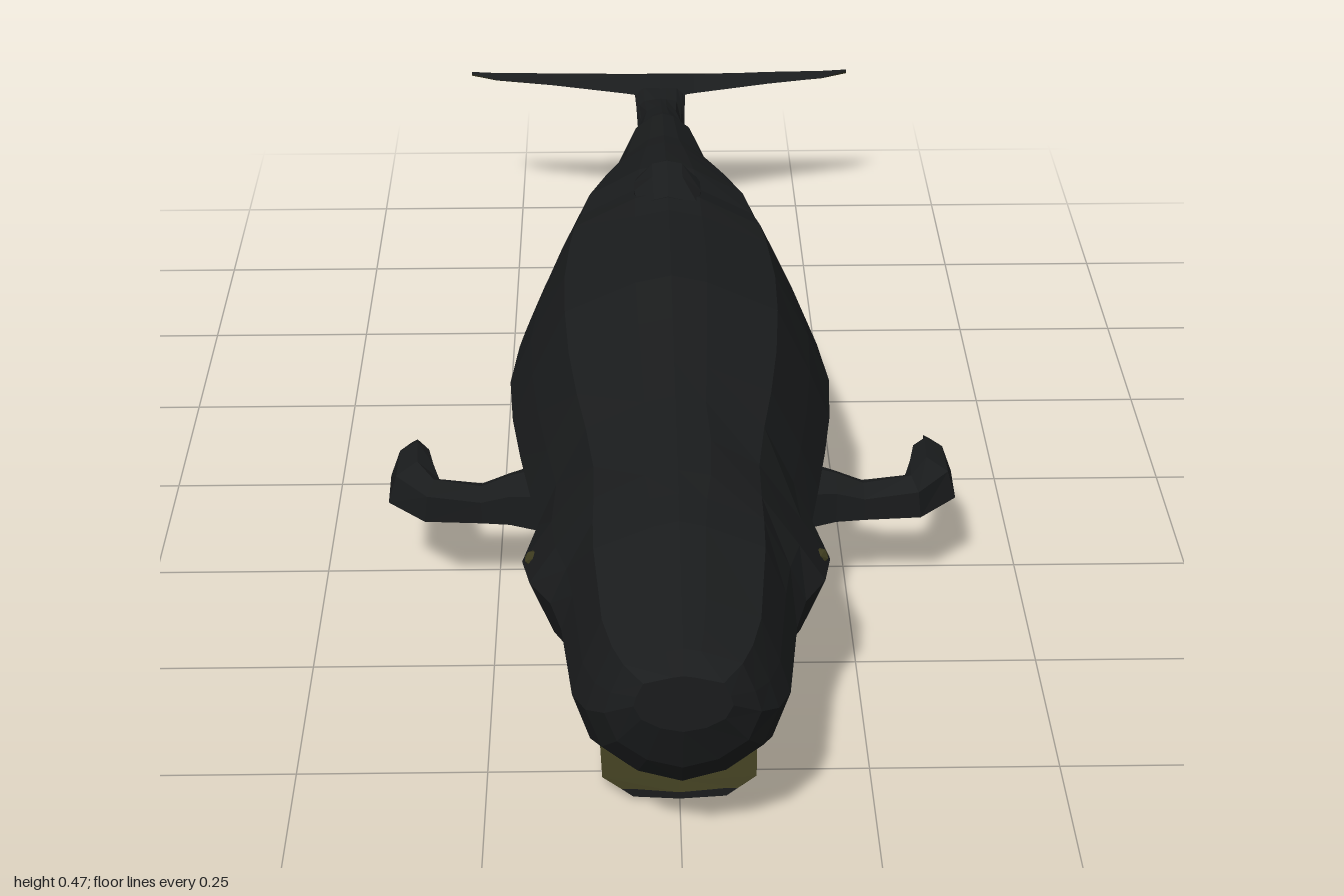
import * as THREE from 'three';

const skin = new THREE.MeshStandardMaterial({ color: 0x1a1c1d, flatShading: true });
const olive = new THREE.MeshStandardMaterial({ color: 0x3c3a1e, flatShading: true });

// Joins a list of point rings into a faceted skin; closed rings get end caps
function loft(name, rings, material, closed = true) {
  const pos = [];
  const tri = (a, b, c) => pos.push(...a, ...b, ...c);
  const n = rings[0].length;
  for (let r = 0; r < rings.length - 1; r++) {
    const A = rings[r], B = rings[r + 1];
    for (let i = 0; i < (closed ? n : n - 1); i++) {
      const j = (i + 1) % n;
      tri(A[i], A[j], B[i]);
      tri(A[j], B[j], B[i]);
    }
  }
  if (closed) {
    const first = rings[0], last = rings[rings.length - 1];
    for (let i = 1; i < n - 1; i++) {
      tri(first[0], first[i + 1], first[i]);
      tri(last[0], last[i], last[i + 1]);
    }
  }
  const geo = new THREE.BufferGeometry();
  geo.setAttribute('position', new THREE.Float32BufferAttribute(pos, 3));
  geo.computeVertexNormals();
  const mesh = new THREE.Mesh(geo, material);
  mesh.name = name;
  return mesh;
}

const mirror = rings => rings.map(r => r.map(([x, y, z]) => [-x, y, z]).reverse());

// Body sections: z, half width, top, bottom, shoulder half width / half width
const SECTIONS = [
  [1.0, 0.06, 0.32, 0.24, 0.8], [0.975, 0.095, 0.343, 0.17, 0.75],
  [0.94, 0.118, 0.353, 0.125, 0.72], [0.89, 0.135, 0.365, 0.092, 0.72],
  [0.76, 0.15, 0.39, 0.09, 0.72], [0.7, 0.165, 0.394, 0.088, 0.66],
  [0.65, 0.193, 0.4, 0.083, 0.56], [0.57, 0.205, 0.407, 0.045, 0.53],
  [0.48, 0.186, 0.415, 0.042, 0.64], [0.4, 0.2, 0.426, 0.044, 0.66],
  [0.3, 0.215, 0.44, 0.03, 0.67], [0.2, 0.228, 0.455, 0.022, 0.66],
  [0.08, 0.235, 0.45, 0.02, 0.65], [-0.04, 0.225, 0.445, 0.017, 0.65],
  [-0.1, 0.218, 0.448, 0.004, 0.64], [-0.16, 0.207, 0.435, 0.02, 0.63],
  [-0.23, 0.19, 0.435, 0.04, 0.62], [-0.34, 0.155, 0.41, 0.075, 0.6],
  [-0.4, 0.133, 0.396, 0.095, 0.58], [-0.47, 0.108, 0.378, 0.112, 0.56],
  [-0.6, 0.08, 0.36, 0.165, 0.55], [-0.66, 0.055, 0.338, 0.188, 0.58],
  [-0.75, 0.04, 0.312, 0.23, 0.62], [-0.83, 0.042, 0.29, 0.258, 0.66],
  [-0.9, 0.045, 0.288, 0.268, 0.66],
];

function bodyRing([z, w, top, bottom, s]) {
  const half = [[0.22, 0.975], [s, 0.87], [(s + 1.08) / 2, 0.64], [1, 0.47], [0.84, 0.23], [0.46, 0.07]];
  const at = (u, v) => [u * w, bottom + v * (top - bottom), z];
  return [
    at(0, 1), ...half.map(([u, v]) => at(u, v)),
    at(0, 0), ...half.map(([u, v]) => at(-u, v)).reverse(),
  ];
}

// Low hump: z, half width, base height, crest height
function dorsalHump() {
  const rings = [[-0.08, 0.045, 0.425, 0.448], [-0.13, 0.05, 0.425, 0.463],
    [-0.16, 0.05, 0.425, 0.471], [-0.19, 0.045, 0.42, 0.458], [-0.25, 0.03, 0.405, 0.432]]
    .map(([z, w, base, top]) => [
      [0, top, z], [w * 0.45, top - 0.005, z], [w, base + 0.01, z], [w, base - 0.03, z],
      [-w, base - 0.03, z], [-w, base + 0.01, z], [-w * 0.45, top - 0.005, z],
    ]);
  return loft('dorsalHump', rings, skin);
}

// Flipper sections: x, y, z, half thickness, half height, backward turn
function flipperRings() {
  return [
    [0.17, 0.165, 0.315, 0.065, 0.05, 0], [0.23, 0.16, 0.312, 0.042, 0.038, 0],
    [0.27, 0.153, 0.312, 0.034, 0.028, 0], [0.34, 0.162, 0.318, 0.032, 0.034, 0.3],
    [0.372, 0.165, 0.275, 0.038, 0.036, 1.0], [0.377, 0.165, 0.215, 0.026, 0.034, 1.5],
    [0.381, 0.156, 0.158, 0.006, 0.015, 1.8],
  ].map(([x, y, z, t, h, a]) => {
    const lean = Math.sin(a) * 0.012;
    const at = (n, v) => [x + n * t * Math.sin(a) - v * lean, y + v * h, z + n * t * Math.cos(a)];
    return [at(0, 1), at(0.8, 0.6), at(0.8, -0.6), at(0, -1), at(-0.8, -0.6), at(-0.8, 0.6)];
  });
}

// Tail fluke: dark upper sheet and olive lower sheet
function tailFluke() {
  const group = new THREE.Group();
  group.name = 'tailFluke';
  const half = [[0.335, -0.995, 0.27, 0.004], [0.29, -0.965, 0.271, 0.008],
    [0.19, -0.935, 0.273, 0.012], [0.06, -0.885, 0.277, 0.016]];
  const all = [...half.map(([x, ...rest]) => [-x, ...rest]), [0, -0.855, 0.28, 0.02], ...half.slice().reverse()];
  const edge = ([x, lead, y]) => [[x, y, lead], [x, 0.267, -1]];
  const upper = all.map(s => {
    const [lead, trail] = edge(s);
    return [trail, [s[0], s[2] + s[3], s[1] * 0.6 - 0.4], lead];
  });
  const lower = all.map(s => {
    const [lead, trail] = edge(s);
    return [lead, [s[0], s[2] - s[3] * 0.8, s[1] * 0.6 - 0.4], trail];
  });
  group.add(loft('flukeTop', upper, skin, false), loft('flukeUnderside', lower, olive, false));
  return group;
}

// Hanging lower jaw: z, half width, top, bottom
function lowerJaw() {
  const group = new THREE.Group();
  group.name = 'lowerJaw';
  const s = [[0.812, 0.075, 0.02, 0.004], [0.79, 0.1, 0.023, 0.008],
    [0.65, 0.107, 0.045, 0.022], [0.58, 0.11, 0.075, 0.032], [0.52, 0.11, 0.1, 0.045]];
  const mouth = s.map(([z, w, t]) => [[-w, t, z], [0, t - 0.006, z], [w, t, z]]);
  const shell = s.map(([z, w, t, b]) => [[w, t, z], [w * 0.8, b + 0.004, z], [0, b, z], [-w * 0.8, b + 0.004, z], [-w, t, z]]);
  const [z, w, t] = s[0];
  shell.unshift([1, 0.8, 0, -0.8, -1].map(u => [u * w, u ? t : t - 0.006, z]));
  group.add(loft('mouthFloor', mouth, olive, false), loft('jawShell', shell, skin, false));
  return group;
}

export function createModel() {
  const model = new THREE.Group();
  model.name = 'whale';
  model.add(loft('body', SECTIONS.map(bodyRing), skin), dorsalHump(), tailFluke(), lowerJaw());

  const flipper = flipperRings();
  model.add(loft('leftFlipper', flipper, skin), loft('rightFlipper', mirror(flipper), skin));

  // Small eyes on the cheeks
  for (const side of [1, -1]) {
    const eye = new THREE.Mesh(new THREE.IcosahedronGeometry(0.012, 0), olive);
    eye.name = side > 0 ? 'leftEye' : 'rightEye';
    eye.position.set(side * 0.19, 0.232, 0.59);
    model.add(eye);
  }
  return model;
}
